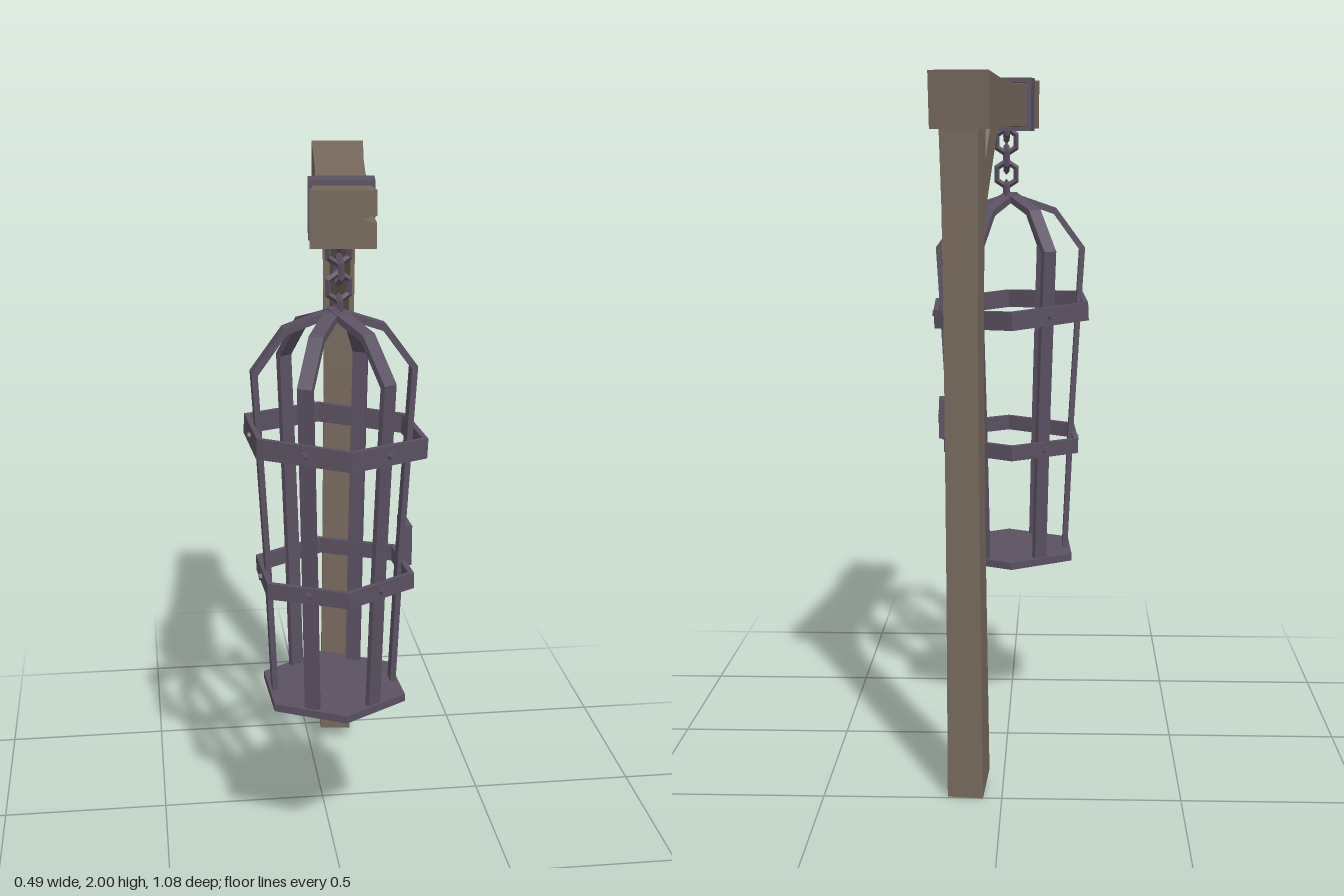
import * as THREE from 'three';

const mat = (name, color, extra = {}) => new THREE.MeshStandardMaterial({ name, color, flatShading: true, ...extra });

// Timber cross-section, counter-clockwise, with a V-shaped split in its +x side
function section({ w, bottom, top, split = 0, depth = 0, x = 0, at }, map, tilt = 0) {
  const c = (bottom + top) / 2, h = (top - bottom) / 2;
  return [[-w, bottom], [w, bottom], [w, c - split], [w - depth, c], [w, c + split], [w, top], [-w, top]]
    .map(([px, v]) => map(px + x, v, at + tilt * (v - c) / h));
}

// Joins cross-sections into a closed solid
function loft(sections, flat) {
  const n = sections[0].length, index = [];
  for (let k = 0; k < sections.length - 1; k++) {
    for (let i = 0; i < n; i++) {
      const a = k * n + i, b = k * n + (i + 1) % n;
      index.push(a, b, b + n, a, b + n, a + n);
    }
  }
  const end = (sections.length - 1) * n;
  const caps = [[sections[0], 0, true], [sections[sections.length - 1], end, false]];
  for (const [s, base, flip] of caps) {
    for (const [a, b, c] of THREE.ShapeUtils.triangulateShape(s.map(flat), [])) {
      index.push(base + a, base + (flip ? c : b), base + (flip ? b : c));
    }
  }
  const geo = new THREE.BufferGeometry().setFromPoints(sections.flat());
  geo.setIndex(index);
  const out = geo.toNonIndexed();
  out.computeVertexNormals();
  return out;
}

// Plate of the given thickness cut from a 2D outline, centred on its depth
function plate(points, thickness) {
  const shape = new THREE.Shape(points.map(([x, y]) => new THREE.Vector2(x, y)));
  return new THREE.ExtrudeGeometry(shape, { depth: thickness, bevelEnabled: false }).translate(0, 0, -thickness / 2);
}

export function createModel() {
  const wood = mat('weathered wood', 0x76685c);
  const iron = mat('dark iron', 0x5a5061);
  const black = mat('keyhole black', 0x211d25);

  const model = new THREE.Group();
  model.name = 'hangingCage';
  const add = (parent, name, geo, material, x = 0, y = 0, z = 0) => {
    const mesh = new THREE.Mesh(geo, material);
    mesh.name = name;
    mesh.position.set(x, y, z);
    parent.add(mesh);
    return mesh;
  };

  // Gallows, turned slightly about the vertical
  const gallows = new THREE.Group();
  gallows.name = 'gallows';
  gallows.position.set(0.055, 0, -0.045);
  gallows.rotation.y = -0.113;
  model.add(gallows);

  // Beam, waisted in the middle and split at the front end
  const alongZ = (x, v, t) => new THREE.Vector3(x, v, t);
  const beam = [
    [{ at: -0.485, w: 0.08, bottom: 1.845, top: 1.995 }, -0.008],
    [{ at: -0.2, w: 0.073, bottom: 1.85, top: 1.98 }],
    [{ at: 0.06, w: 0.07, bottom: 1.855, top: 1.975 }],
    [{ at: 0.37, w: 0.078, bottom: 1.852, top: 1.987 }],
    [{ at: 0.49, w: 0.086, bottom: 1.848, top: 1.998, split: 0.009, depth: 0.04 }],
  ].map(([s, tilt]) => section(s, alongZ, tilt));
  add(gallows, 'beam', loft(beam, p => new THREE.Vector2(p.x, p.y)), wood);

  // Post, broken off at a slant below and split at the top
  const alongY = (x, v, t) => new THREE.Vector3(x, t, -v);
  const post = [
    [{ at: 0.02, w: 0.05, bottom: -0.06, top: 0.058, x: -0.004 }, -0.02],
    [{ at: 0.6, w: 0.047, bottom: -0.053, top: 0.052 }],
    [{ at: 1.3, w: 0.046, bottom: -0.052, top: 0.052, x: 0.004 }],
    [{ at: 1.64, w: 0.049, bottom: -0.054, top: 0.055, x: 0.004 }],
    [{ at: 1.87, w: 0.053, bottom: -0.062, top: 0.06, split: 0.008, depth: 0.03, x: 0.006 }],
  ].map(([s, tilt]) => section(s, alongY, tilt));
  add(gallows, 'post', loft(post, p => new THREE.Vector2(p.x, -p.z)), wood, 0, 0, -0.397);

  // Diagonal brace
  const brace = plate([[0.35, 1.47], [0.35, 1.615], [0.105, 1.862], [-0.035, 1.862]], 0.06).rotateY(Math.PI / 2);
  add(gallows, 'brace', brace, wood, 0.005, 0, 0);

  // Iron clamp round the beam
  const clamp = new THREE.Group();
  clamp.name = 'beamClamp';
  clamp.position.set(-0.002, 1.92, 0.3);
  gallows.add(clamp);
  for (const s of [-1, 1]) {
    add(clamp, 'clampSide', new THREE.BoxGeometry(0.014, 0.156, 0.082), iron, s * 0.082, 0, 0);
    add(clamp, 'clampPlate', new THREE.BoxGeometry(0.178, 0.014, 0.082), iron, 0, s * 0.072, 0);
  }

  // Chain of alternating links
  const chain = new THREE.Group();
  chain.name = 'chain';
  chain.position.set(0.012, 0, 0.262);
  model.add(chain);
  [1.66, 1.71, 1.757, 1.81, 1.85].forEach((y, i) => {
    const r = i === 0 ? 0.022 : 0.034;
    const link = add(chain, 'chainLink', new THREE.TorusGeometry(r, 0.009, 4, 6).rotateZ(Math.PI / 6), iron, 0, y, 0);
    link.scale.y = 1.15;
    link.rotation.y = i % 2 ? 0.1 : Math.PI / 2 + 0.1;
  });

  // Cage
  const cage = new THREE.Group();
  cage.name = 'cage';
  cage.position.set(0, 0, 0.265);
  cage.rotation.y = 0.05;
  model.add(cage);
  add(cage, 'cageFloor', new THREE.CylinderGeometry(0.22, 0.22, 0.022, 6), iron, 0, 0.521, 0);

  // Six bent straps meeting at the crown
  const outer = [[0.182, 0.525], [0.198, 0.9], [0.22, 1.3], [0.231, 1.485], [0.142, 1.606], [0, 1.655]];
  const inner = [[0, 1.635], [0.134, 1.588], [0.214, 1.478], [0.204, 1.3], [0.182, 0.9], [0.166, 0.525]];
  for (let i = 0; i < 6; i++) {
    add(cage, 'cageBar', plate([...outer, ...inner], 0.042), iron).rotation.y = i * Math.PI / 3;
  }

  // Hexagonal hoops with a rivet on each face
  const hoop = (name, radius, height, y, tiltX, tiltZ) => {
    const g = new THREE.Group();
    g.name = name;
    g.position.y = y;
    g.rotation.set(tiltX, 0, tiltZ);
    cage.add(g);
    const h = height / 2, r = radius - 0.018;
    const profile = [[radius, -h], [radius, h], [r, h], [r, -h], [radius, -h]].map(p => new THREE.Vector2(...p));
    add(g, name + 'Band', new THREE.LatheGeometry(profile, 6), iron);
    for (let i = 0; i < 6; i++) {
      const a = i * Math.PI / 3, d = radius * Math.cos(Math.PI / 6);
      const rivet = new THREE.CylinderGeometry(0.009, 0.012, 0.012, 6).rotateZ(-Math.PI / 2).translate(d + 0.002, 0, 0);
      add(g, 'rivet', rivet, iron).rotation.y = a;
    }
  };
  hoop('upperHoop', 0.272, 0.056, 1.292, -0.03, -0.05);
  hoop('lowerHoop', 0.24, 0.046, 0.885, -0.03, 0.01);

  // Lock plate on the left side of the lower hoop
  const lock = new THREE.Group();
  lock.name = 'lock';
  lock.position.set(0.212, 0.955, -0.03);
  cage.add(lock);
  add(lock, 'lockPlate', new THREE.BoxGeometry(0.024, 0.12, 0.095), iron);
  add(lock, 'keyholeTop', new THREE.CylinderGeometry(0.01, 0.01, 0.004, 8).rotateZ(Math.PI / 2), black, 0.0125, 0.012, 0);
  add(lock, 'keyholeSlot', new THREE.BoxGeometry(0.004, 0.028, 0.011), black, 0.0125, -0.004, 0);

  return model;
}
